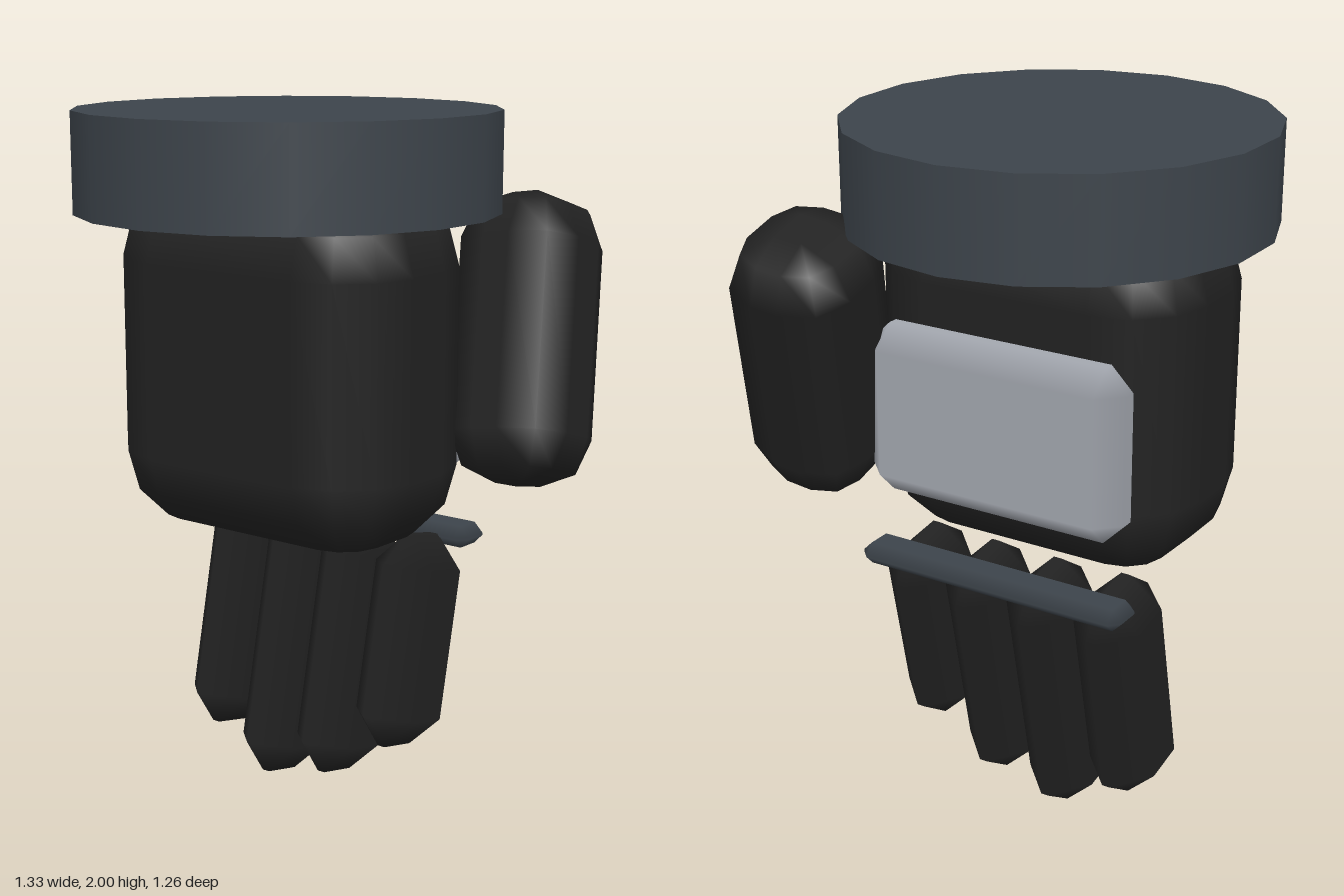
import * as THREE from 'three';

const black = new THREE.MeshStandardMaterial({ color: 0x222222 });
black.name = 'black padding';
const slate = new THREE.MeshStandardMaterial({ color: 0x3d444b });
slate.name = 'slate grey';
const silver = new THREE.MeshStandardMaterial({ color: 0xa4a8b0 });
silver.name = 'silver plate';

// Box with bevelled edges of radius r in n steps: the grid of a sphere pulled apart into eight corners.
function bevelBox(w, h, d, r, n) {
  const cols = 4 * (n + 1), rows = 2 * n + 3;
  const geo = new THREE.SphereGeometry(1, cols, rows);
  const pos = geo.attributes.position, nor = geo.attributes.normal;
  const quarter = Math.PI / 2;
  for (let row = 0, i = 0; row <= rows; row++) {
    const top = row <= n + 1;
    const sy = top ? 1 : -1;
    const theta = (top ? (row - 1) / n : 1 + (row - n - 2) / n) * quarter;
    for (let col = 0; col <= cols; col++, i++) {
      // First and last rows close the flat top and bottom
      if (row === 0 || row === rows) {
        pos.setXYZ(i, 0, sy * h / 2, 0);
        nor.setXYZ(i, 0, sy, 0);
        continue;
      }
      const q = Math.floor(col / (n + 1));
      const phi = (q + (col % (n + 1)) / n) * quarter;
      const corner = (q + 0.5) * quarter;
      const nx = -Math.cos(phi) * Math.sin(theta);
      const ny = Math.cos(theta);
      const nz = Math.sin(phi) * Math.sin(theta);
      pos.setXYZ(i,
        -Math.sign(Math.cos(corner)) * (w / 2 - r) + nx * r,
        sy * (h / 2 - r) + ny * r,
        Math.sign(Math.sin(corner)) * (d / 2 - r) + nz * r);
      nor.setXYZ(i, nx, ny, nz);
    }
  }
  return geo;
}

export function createModel() {
  const group = new THREE.Group();
  group.name = 'glove';

  function add(name, geometry, material, position, rotation = [0, 0, 0]) {
    const mesh = new THREE.Mesh(geometry, material);
    mesh.name = name;
    mesh.position.set(...position);
    mesh.rotation.set(...rotation);
    group.add(mesh);
  }

  // Wrist cuff
  add('cuff', new THREE.CylinderGeometry(0.592, 0.592, 0.28, 18), slate, [-0.083, 1.86, 0.04]);

  // Padded palm
  add('palm', bevelBox(0.97, 1.01, 0.6, 0.23, 3), black, [-0.085, 1.305, 0.04]);

  // Plate on the back of the hand
  add('backPlate', bevelBox(0.8, 0.49, 0.16, 0.065, 1), silver, [-0.083, 1.22, -0.28]);

  // Bar across the knuckles
  add('knuckleBar', bevelBox(0.835, 0.063, 0.125, 0.028, 1), slate, [-0.085, 0.78, -0.303]);

  // Four fingers: x centre and height of the tip
  const knuckleY = 0.81, tilt = 0.21;
  [[-0.398, 0.105], [-0.19, 0], [0.018, 0.05], [0.228, 0.178]].forEach(([x, tip], i) => {
    const length = (knuckleY - tip - 0.025) / Math.cos(tilt);
    add('finger' + (i + 1), bevelBox(0.21, length, 0.31, 0.093, 1), black,
      [x, (knuckleY + tip) / 2, -0.12], [-tilt, 0, 0]);
  });

  // Thumb leaning back and inwards
  add('thumb', bevelBox(0.36, 0.82, 0.39, 0.14, 2), black, [0.45, 1.362, -0.363], [-0.29, 0, 0.14]);

  return group;
}
